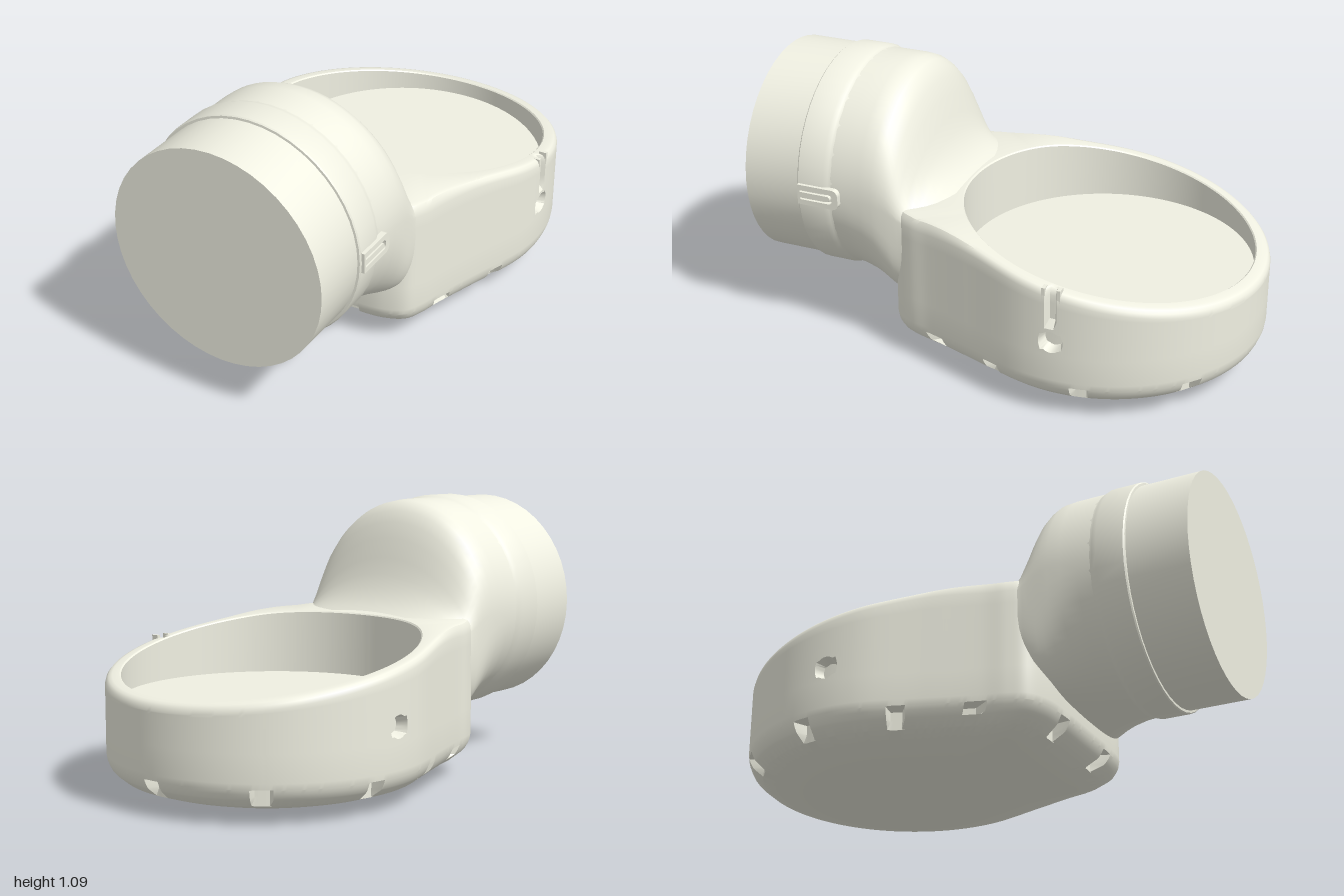
import * as THREE from 'three';
import { toCreasedNormals } from 'three/addons/utils/BufferGeometryUtils.js';

const CZ = -0.37;        // centre of the round tray
const TRAY_R = 0.63;
const AXIS_Y = 0.635;    // height of the horizontal barrel
const HOLE_Y = 0.32;     // height of the side holes
const material = new THREE.MeshStandardMaterial({ color: 0xf0f0e2 });
const { lerp, smoothstep, degToRad } = THREE.MathUtils;

// Skin a list of closed rings that all have the same number of points
function loft(rings, crease = 0.6) {
  const n = rings[0].length, index = [];
  for (let j = 0; j < rings.length - 1; j++) {
    for (let i = 0; i < n; i++) {
      const a = j * n + i, b = j * n + (i + 1) % n, d = a + n, c = b + n;
      index.push(a, d, b, b, d, c);
    }
  }
  const g = new THREE.BufferGeometry();
  g.setAttribute('position', new THREE.Float32BufferAttribute(rings.flat(2), 3));
  g.setIndex(index);
  return toCreasedNormals(g, crease);
}

function addMesh(group, name, geometry) {
  const mesh = new THREE.Mesh(geometry, material);
  mesh.name = name;
  group.add(mesh);
  return mesh;
}

// Plan outline: round at the back, flaring in to a narrow rounded front
function planOutline() {
  const half = [];
  for (let deg = -90; deg <= 15; deg += 7.5) {
    const a = degToRad(deg);
    half.push([TRAY_R * Math.cos(a), CZ + TRAY_R * Math.sin(a)]);
  }
  half.push([0.537, 0], [0.469, 0.2], [0.444, 0.29], [0.41, 0.355], [0.33, 0.394], [0.2, 0.407], [0, 0.408]);
  const mirrored = half.slice(1, -1).reverse().map(([x, z]) => [-x, z]);
  const curve = new THREE.CatmullRomCurve3(
    [...half, ...mirrored].map(([x, z]) => new THREE.Vector3(x, 0, z)), true, 'centripetal');
  curve.arcLengthDivisions = 2000;
  return curve.getSpacedPoints(360).slice(0, 360);
}

// The rim slopes down to the back and levels off towards the neck
const rimY = (z) => (z < 0 ? 0.6 + 0.18 * z : 0.6 + 0.18 * z * Math.max(1 - 2.5 * z, 0.4));

// Vent notches round the lower edge: direction from the tray centre, lowest height
const vents = [[76, 0.066], [49, 0.1], [25, 0.066], [-10, 0.066], [-50, 0.066]]
  .flatMap(([d, low]) => [[d, low], [180 - d, low]]).concat([[-90, 0.066]])
  .map(([d, low]) => [Math.cos(degToRad(d)), Math.sin(degToRad(d)), low]);

function inVent(x, y, z) {
  return vents.some(([dx, dz, low]) => y > low && y < 0.136 &&
    x * dx + (z - CZ) * dz > 0 && Math.abs(x * dz - (z - CZ) * dx) < 0.033);
}

// Bend the square grid into circles round each side hole and press the hole in
function shapeSideHole([x, y, z]) {
  const dy = y - HOLE_Y, dz = z - CZ;
  const m = Math.max(Math.abs(dy), Math.abs(dz));
  if (m > 0.06 || Math.abs(x) < 0.5) return [x, y, z];
  const k = lerp(m / (Math.hypot(dy, dz) || 1), 1, smoothstep(m, 0.044, 0.055));
  const wall = Math.sqrt(TRAY_R ** 2 - (dz * k) ** 2) - (m < 0.038 ? 0.045 : 0);
  return [Math.sign(x) * wall, HOLE_Y + dy * k, CZ + dz * k];
}

function trayGeometry() {
  const outline = planOutline();
  const rings = [];
  const outer = (scale, height) => rings.push(outline.map((p) => {
    const y = height(CZ + (p.z - CZ) * scale);
    const inSlot = p.x > 0.5 && y > 0.39 && Math.abs(p.z - CZ) < 0.02;
    let k = scale;
    if (inVent(p.x, y, p.z)) k = Math.min(k, 0.9);
    if (inSlot) k -= 0.04;
    return shapeSideHole([p.x * k, y, CZ + (p.z - CZ) * k]);
  }));
  const inner = (radius, height) => rings.push(outline.map((p) => {
    const k = radius / Math.hypot(p.x, p.z - CZ);
    const z = CZ + (p.z - CZ) * k;
    return [p.x * k, height(z), z];
  }));

  // shallow bowl underneath
  const bowl = [[0, 0], [0.45, 0], [0.57, 0.009], [0.68, 0.024], [0.74, 0.034], [0.8, 0.044], [0.9, 0.065],
    [0.905, 0.067], [0.96, 0.095], [0.97, 0.102], [0.985, 0.12], [0.994, 0.135], [0.995, 0.137], [1, 0.16]];
  for (const [s, y] of bowl) outer(s, () => y);
  // upright wall, finely stepped across the side holes
  for (let i = -5; i <= 5; i++) outer(1, () => HOLE_Y + i * 0.011);
  // the upper edge is rounded more towards the neck
  const drop = (z) => lerp(0.03, 0.05, smoothstep(z, -0.1, 0.25));
  for (let t = 0.25; t <= 1; t += 0.25) outer(1, (z) => lerp(0.375, rimY(z) - drop(z), t));
  outer(0.993, (z) => rimY(z) - drop(z) * 0.45);
  outer(0.978, (z) => rimY(z) - drop(z) * 0.12);
  outer(0.957, rimY);
  // round recess
  inner(0.575, rimY);
  inner(0.57, (z) => rimY(z) - 0.005);
  inner(0.57, () => 0.36);
  inner(0, () => 0.36);
  return loft(rings);
}

// Neck: round at the barrel, squarer below, with a bell-shaped shoulder to the tray
function neckGeometry() {
  // z, top, middle, half width, squareness of lower half, bell shape of upper half
  const stations = [
    [0.63, 1.075, 0.635, 0.44, 2, 1], [0.57, 1.075, 0.635, 0.44, 2.1, 1], [0.5, 1.075, 0.635, 0.44, 2.4, 1],
    [0.45, 1.07, 0.63, 0.44, 2.8, 1], [0.42, 1.055, 0.62, 0.438, 3.2, 1.02], [0.395, 1.03, 0.61, 0.436, 3.6, 1.06],
    [0.37, 0.985, 0.595, 0.434, 4, 1.15], [0.345, 0.92, 0.58, 0.432, 4, 1.3], [0.32, 0.84, 0.57, 0.43, 4, 1.5],
    [0.3, 0.775, 0.565, 0.43, 4, 1.6], [0.275, 0.72, 0.56, 0.43, 4, 1.6], [0.25, 0.68, 0.555, 0.43, 4, 1.5],
    [0.225, 0.65, 0.55, 0.43, 4, 1.4], [0.203, 0.63, 0.545, 0.43, 4, 1.3]];
  const n = 72;
  return loft(stations.map(([z, top, mid, w, power, bell]) => Array.from({ length: n }, (_, i) => {
    const a = (i / n) * Math.PI * 2, c = Math.cos(a), s = Math.sin(a);
    if (s >= 0) return [w * c, mid + (top - mid) * s ** bell, z];
    const e = 2 / power;
    return [w * Math.sign(c) * Math.abs(c) ** e, mid - (mid - 0.195) * Math.abs(s) ** e, z];
  })), 1);
}

// Barrel with a raised collar
function barrelGeometry() {
  const profile = [[0.438, 0.58], [0.44, 0.62], [0.444, 0.632], [0.451, 0.65], [0.451, 0.757],
    [0.447, 0.762], [0.438, 0.763], [0.438, 1], [0, 1]];
  const g = new THREE.LatheGeometry(profile.map(([r, z]) => new THREE.Vector2(r, z)), 48);
  return toCreasedNormals(g.rotateX(Math.PI / 2), 0.5);
}

function roundedRect(PathType, x0, x1, h, r) {
  const p = new PathType();
  p.moveTo(x0, -h);
  p.lineTo(x1 - r, -h);
  p.absarc(x1 - r, -h + r, r, -Math.PI / 2, 0);
  p.absarc(x1 - r, h - r, r, 0, Math.PI / 2);
  p.lineTo(x0, h);
  p.closePath();
  return p;
}

// Small latch on the side of the collar: a frame round a narrow tongue
function latchGeometry() {
  const frame = roundedRect(THREE.Shape, -0.755, -0.58, 0.041, 0.025);
  frame.holes.push(roundedRect(THREE.Path, -0.745, -0.605, 0.02, 0.015));
  const tongue = roundedRect(THREE.Shape, -0.75, -0.615, 0.011, 0.01);
  return new THREE.ExtrudeGeometry([frame, tongue], { depth: 0.042, bevelEnabled: false })
    .rotateY(Math.PI / 2).translate(0.42, AXIS_Y, 0);
}

export function createModel() {
  const model = new THREE.Group();
  model.name = 'housing';
  addMesh(model, 'tray', trayGeometry());
  addMesh(model, 'neck', neckGeometry());
  const barrel = addMesh(model, 'barrel', barrelGeometry());
  barrel.position.y = AXIS_Y;
  addMesh(model, 'latch', latchGeometry());
  // square lips either side of the slot in the rim
  for (const side of [-1, 1]) {
    const lip = addMesh(model, 'slotLip', new THREE.BoxGeometry(0.03, 0.05, 0.014));
    lip.position.set(0.614, 0.515, CZ + side * 0.03);
  }
  return model;
}
